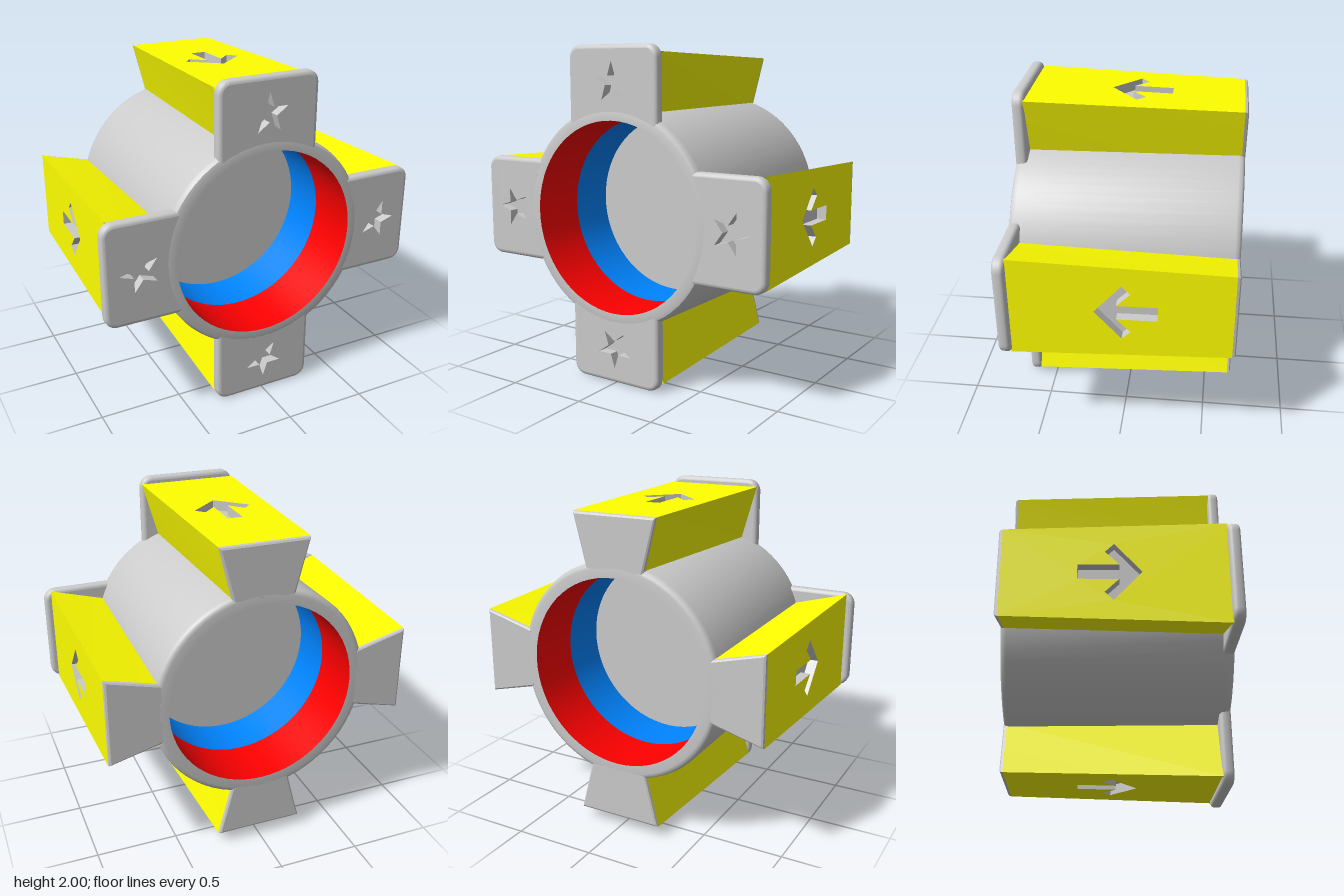
import * as THREE from 'three';
import { toCreasedNormals } from 'three/addons/utils/BufferGeometryUtils.js';

const mat = (color) => new THREE.MeshStandardMaterial({ color, side: THREE.DoubleSide });
const grey = mat(0xcccccc), yellow = mat(0xffff00), red = mat(0xff0000), blue = mat(0x0084ff);
const V2 = (x, y) => new THREE.Vector2(x, y);

function add(parent, name, geometry, material) {
  const mesh = new THREE.Mesh(geometry, material);
  mesh.name = name;
  parent.add(mesh);
  return mesh;
}

// Skin between rings of [x, y, z] points
function loft(rings, closed = true) {
  const n = rings[0].length, index = [];
  for (let j = 0; j < rings.length - 1; j++) {
    for (let i = 0; i < (closed ? n : n - 1); i++) {
      const a = j * n + i, b = j * n + (i + 1) % n;
      index.push(a, b, b + n, a, b + n, a + n);
    }
  }
  const g = new THREE.BufferGeometry();
  g.setAttribute('position', new THREE.Float32BufferAttribute(rings.flat(2), 3));
  g.setIndex(index);
  g.computeVertexNormals();
  return toCreasedNormals(g, 0.6);
}

const ring = (pts, z) => pts.map((p) => [p.x, p.y, z]);

// Flat face with a cut-out, plus the sunken pocket behind it
function pocketFace(parent, name, outline, cut, depth, material) {
  const shape = new THREE.Shape(outline);
  shape.holes.push(new THREE.Path(cut));
  add(parent, name + 'Face', new THREE.ShapeGeometry(shape), material);
  add(parent, name + 'PocketWall', loft([ring(cut, 0), ring(cut, -depth)]), grey);
  add(parent, name + 'PocketFloor', new THREE.ShapeGeometry(new THREE.Shape(cut)), grey).position.z = -depth;
}

// Rounded plate outline, inset on its three free sides, hollowed to fit the barrel
function plateOutline(inset) {
  const w = 0.315 - inset, top = 1 - inset, c = 0.075 - inset, r = 0.62, pts = [];
  const arc = (cx, cy, rad, a0, a1, n) => {
    for (let i = 0; i <= n; i++) {
      const a = a0 + (a1 - a0) * i / n;
      pts.push(V2(cx + rad * Math.cos(a), cy + rad * Math.sin(a)));
    }
  };
  const half = Math.asin(w / r), up = Math.PI / 2;
  arc(w - c, top - c, c, 0, up, 8);
  arc(c - w, top - c, c, up, Math.PI, 8);
  arc(0, 0, r, up + half, up - half, 14);
  return pts;
}

function starPoints(cy) {
  return Array.from({ length: 10 }, (_, i) => {
    const a = Math.PI / 2 + i * Math.PI / 5, r = i % 2 ? 0.047 : 0.122;
    return V2(r * Math.cos(a), cy + r * Math.sin(a));
  });
}

function arrowPoints() {
  const half = [[0, -0.125], [0.175, 0.03], [0.125, 0.08], [0.045, 0.0], [0.045, 0.23]];
  const mirrored = half.slice(1).reverse().map(([x, y]) => [-x, y]);
  return [...half, ...mirrored].map(([x, y]) => V2(x, y));
}

// One arm, pointing along +y from the barrel axis
function createArm() {
  const arm = new THREE.Group();
  const zf = 0.605, zb = -0.65;

  // Front plate: rounded edge, starred face, plain back
  const bevel = 0.025, edge = [];
  for (let i = 0; i <= 8; i++) {
    const a = Math.PI * i / 8;
    const z = a <= Math.PI / 2 ? 0.6 + bevel * (1 - Math.cos(a)) : 0.67 - bevel * (1 + Math.cos(a));
    edge.push(ring(plateOutline(bevel * (1 - Math.sin(a))), z));
  }
  add(arm, 'plateEdge', loft(edge), grey);
  const back = new THREE.ShapeGeometry(new THREE.Shape(plateOutline(bevel)));
  back.rotateY(Math.PI);
  add(arm, 'plateBack', back, grey).position.z = 0.6;
  const front = new THREE.Group();
  front.name = 'plateFront';
  front.position.z = 0.67;
  pocketFace(front, 'star', plateOutline(bevel), starPoints(0.785), 0.06, grey);
  arm.add(front);

  // Tapered sides, narrowing toward the barrel
  for (const s of [-1, 1]) {
    const inner = [[s * 0.21, 0.61, zf], [s * 0.189, 0.61, zb]];
    const outer = [[s * 0.31, 0.957, zf], [s * 0.27, 0.93, zb]];
    add(arm, s > 0 ? 'leftSide' : 'rightSide', loft(s > 0 ? [outer, inner] : [inner, outer], false), yellow);
  }

  // Sloping outer face with a sunken arrow
  const top = new THREE.Group();
  top.name = 'outerFace';
  top.position.y = 0.944;
  top.rotation.x = -Math.PI / 2 - 0.0215;
  const outline = [V2(-0.31, -zf), V2(0.31, -zf), V2(0.27, -zb), V2(-0.27, -zb)];
  pocketFace(top, 'arrow', outline, arrowPoints(), 0.06, yellow);
  arm.add(top);

  // Back cap with softened edges
  const cap = (i) => [V2(0.189 - i, 0.61), V2(0.27 - i, 0.93 - i), V2(i - 0.27, 0.93 - i), V2(i - 0.189, 0.61)];
  add(arm, 'backCapEdge', loft([ring(cap(0.015), -0.67), ring(cap(0.004), -0.664), ring(cap(0), zb)]), grey);
  const capFace = new THREE.ShapeGeometry(new THREE.Shape(cap(0.015)));
  capFace.rotateY(Math.PI);
  add(arm, 'backCap', capFace, grey).position.z = -0.67;
  return arm;
}

export function createModel() {
  const model = new THREE.Group();
  const body = new THREE.Group();
  body.name = 'body';
  body.position.y = 1;
  model.add(body);

  // Barrel shell with rounded rims
  const profile = [[0.57, -0.67], [0.625, -0.67], [0.641, -0.667], [0.653, -0.657], [0.66, -0.635],
    [0.653, 0.63], [0.649, 0.65], [0.639, 0.664], [0.62, 0.67], [0.57, 0.67]];
  const shell = new THREE.LatheGeometry(profile.map(([r, z]) => V2(r, z)), 64);
  shell.rotateX(Math.PI / 2);
  add(body, 'barrel', toCreasedNormals(shell, 0.6), grey);

  // Two-colour lining on both sides of the middle wall
  for (const s of [-1, 1]) {
    const lining = (name, r0, r1, z0, z1, material) => {
      const g = new THREE.LatheGeometry([V2(r1, s * z1), V2(r0, s * z0)], 64);
      g.rotateX(Math.PI / 2);
      add(body, (s > 0 ? 'front' : 'back') + name, g, material);
    };
    lining('OuterLining', 0.57, 0.57, 0.32, 0.67, red);
    lining('InnerLining', 0.563, 0.57, 0.03, 0.32, blue);
  }
  const wall = new THREE.CylinderGeometry(0.563, 0.563, 0.06, 64);
  wall.rotateX(Math.PI / 2);
  add(body, 'middleWall', wall, grey);

  // Four arms around the barrel
  ['topArm', 'rightArm', 'bottomArm', 'leftArm'].forEach((name, i) => {
    const arm = createArm();
    arm.name = name;
    arm.rotation.z = i * Math.PI / 2;
    body.add(arm);
  });
  return model;
}
